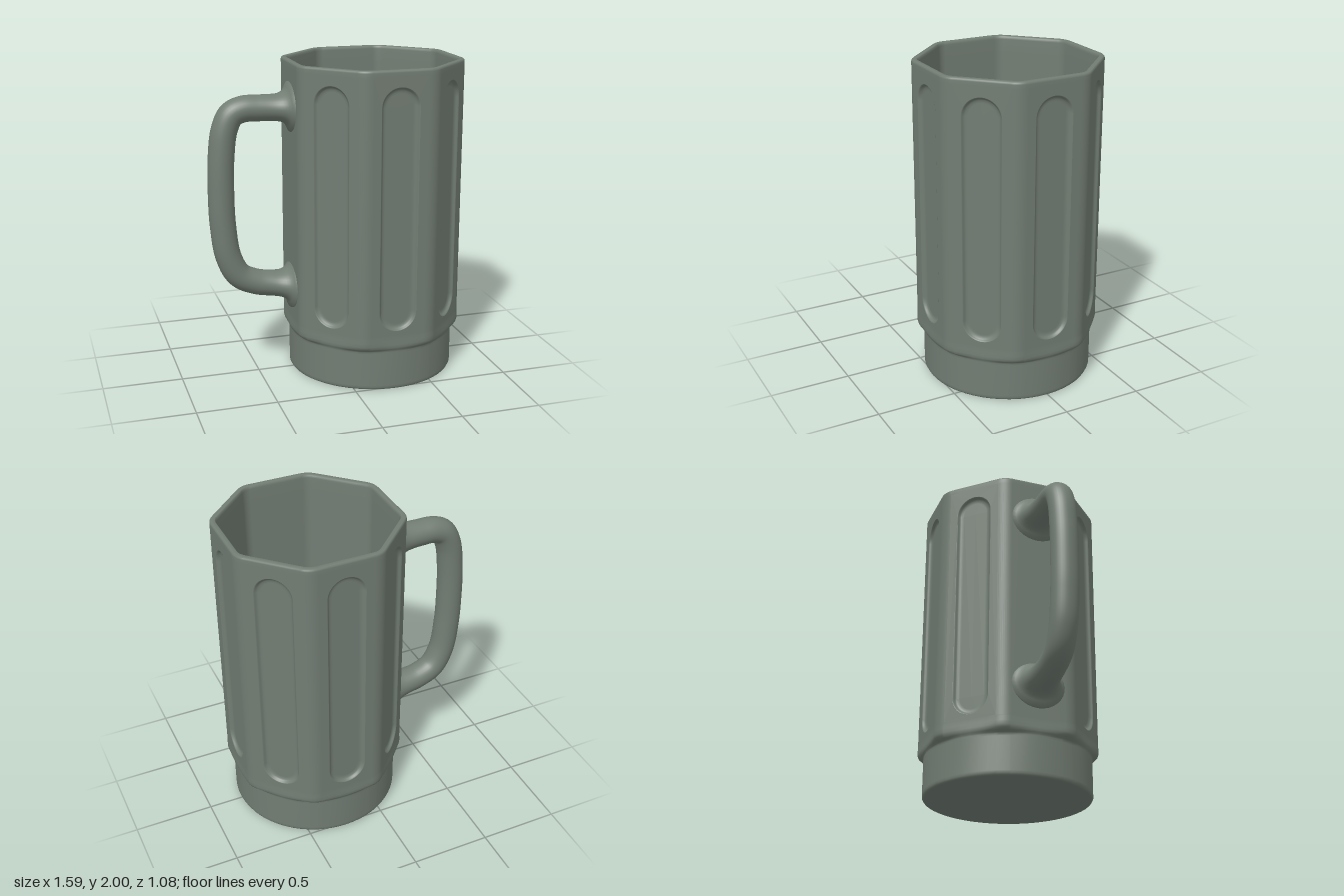
import * as THREE from 'three';

const CX = 0.255;          // mug axis
const APOTHEM = 0.535;     // distance from axis to each flat side
const FILLET = 0.12;       // corner rounding of the outside
const FLAT = (APOTHEM - FILLET) * Math.tan(Math.PI / 8); // half width of a flat
const WALL = [0.36, 1.96]; // height range holding the panels
const HANDLE_SIDE = 6;     // the side facing -x
const FLAT_STEPS = 6, ARC_STEPS = 8, PER_SIDE = FLAT_STEPS + ARC_STEPS;

const glass = new THREE.MeshStandardMaterial({ color: 0x727d73 });
const grey = new THREE.MeshStandardMaterial({ color: 0xcccccc });

// Skins a list of closed rings; skip(column, row) leaves openings
function loft(rings, skip = () => false) {
  const n = rings[0].length, index = [];
  for (let j = 0; j < rings.length - 1; j++) {
    for (let i = 0; i < n; i++) {
      if (skip(i, j)) continue;
      const a = j * n + i, b = j * n + (i + 1) % n;
      index.push(a, b, b + n, a, b + n, a + n);
    }
  }
  const geo = new THREE.BufferGeometry().setFromPoints(rings.flat());
  geo.setIndex(index);
  geo.computeVertexNormals();
  return geo;
}

// Horizontal ring: rounded octagon (round = 0) to circle (round = 1)
function section([y, size, round = 0, fillet = FILLET]) {
  const ring = [];
  const apothem = round === 1 ? APOTHEM : size;
  const half = (apothem - fillet) * Math.tan(Math.PI / 8);
  for (let k = 0; k < 8; k++) {
    for (let i = 0; i < PER_SIDE; i++) {
      const phi = Math.max(0, i - FLAT_STEPS) / ARC_STEPS * Math.PI / 4;
      const u = i <= FLAT_STEPS ? half * (2 * i / FLAT_STEPS - 1) : half + fillet * Math.sin(phi);
      const v = apothem - fillet + fillet * Math.cos(phi);
      const p = new THREE.Vector3(u, 0, v).applyAxisAngle(new THREE.Vector3(0, 1, 0), k * Math.PI / 4);
      p.lerp(p.clone().setLength(size), round);
      ring.push(p.setY(y));
    }
  }
  return ring;
}

// Upright rounded slot outline of half width r
function slot(r, z = 0) {
  const pts = [];
  for (let end = 0; end < 2; end++) {
    for (let i = 0; i <= 20; i++) {
      const a = (end + i / 20) * Math.PI;
      pts.push(new THREE.Vector3(r * Math.cos(a), (end ? 0.51 : 1.78) + r * Math.sin(a), z));
    }
  }
  return pts;
}

function add(parent, name, geometry, material) {
  const mesh = new THREE.Mesh(geometry, material);
  mesh.name = name;
  parent.add(mesh);
  return mesh;
}

// Body: underside, round foot, eight-sided wall, rim and inner wall
function bodyGeometry() {
  const rows = [
    [0.008, 0, 1], [0.008, 0.47, 1], [0, 0.49, 1], [0, 0.515, 1], [0.004, 0.524, 1], [0.015, 0.53, 1], [0.03, 0.53, 1],
    [0.24, 0.53, 1], [0.252, 0.529, 1], [0.262, 0.53, 0.85], [0.27, 0.535, 0.55], [0.282, 0.539, 0.25],
    [0.30, 0.539, 0.08], [0.325, 0.536], [0.35, APOTHEM], [WALL[0], APOTHEM],
    [WALL[1], APOTHEM], [1.985, APOTHEM], [1.994, 0.533], [2, 0.527],
    [2, 0.505, 0, 0.09], [1.994, 0.499, 0, 0.09], [1.98, 0.496, 0, 0.08], [1.9, 0.495, 0, 0.08],
    [0.4, 0.482, 0, 0.08], [0.3, 0.478, 0, 0.08],
  ];
  const wallRow = rows.findIndex(r => r[0] === WALL[0]);
  return loft(rows.map(section), (i, j) =>
    j === wallRow && i % PER_SIDE < FLAT_STEPS && Math.floor(i / PER_SIDE) !== HANDLE_SIDE);
}

// Handle: bent sweep whose ends flare into the wall
function handleGeometry() {
  const path = new THREE.CatmullRomCurve3([
    [-0.265, 1.72], [-0.36, 1.72], [-0.48, 1.722], [-0.57, 1.72], [-0.64, 1.69], [-0.685, 1.6],
    [-0.71, 1.42], [-0.716, 1.2], [-0.71, 1.0], [-0.68, 0.79], [-0.615, 0.665], [-0.51, 0.61],
    [-0.4, 0.59], [-0.265, 0.577],
  ].map(([x, y]) => new THREE.Vector3(x, y, 0)));
  const rings = [];
  for (let j = 0; j <= 120; j++) {
    const p = path.getPointAt(j / 120), t = path.getTangentAt(j / 120);
    const gap = Math.max(0, -0.28 - p.x);
    const rn = 0.081 + 0.075 * Math.exp(-gap / 0.025);
    const rz = 0.086 + 0.085 * Math.exp(-gap / 0.06);
    const ring = [];
    for (let i = 0; i < 32; i++) {
      const a = i / 32 * Math.PI * 2, s = rn * Math.sin(a);
      ring.push(new THREE.Vector3(p.x + t.y * s, p.y - t.x * s, rz * Math.cos(a)));
    }
    rings.push(ring);
  }
  return loft(rings);
}

export function createModel() {
  const model = new THREE.Group();
  model.name = 'mug';

  const mug = new THREE.Group();
  mug.name = 'mugBody';
  mug.position.x = CX;
  model.add(mug);
  add(mug, 'body', bodyGeometry(), glass);

  // Flat sides, each with a sunken slot
  const shape = new THREE.Shape([
    new THREE.Vector2(-FLAT, WALL[0]), new THREE.Vector2(FLAT, WALL[0]),
    new THREE.Vector2(FLAT, WALL[1]), new THREE.Vector2(-FLAT, WALL[1]),
  ]);
  shape.holes.push(new THREE.Path(slot(0.12).map(p => new THREE.Vector2(p.x, p.y))));
  const flatGeo = new THREE.ShapeGeometry(shape);
  const dishGeo = loft([[0, 0], [0.003, -0.001], [0.007, -0.006], [0.012, -0.014], [0.019, -0.019],
    [0.03, -0.022], [0.04, -0.022], [0.12, -0.022]].map(([inset, z]) => slot(0.12 - inset, z)));
  for (let k = 0; k < 8; k++) {
    if (k === HANDLE_SIDE) continue;
    const side = new THREE.Group();
    side.name = 'sidePanel' + k;
    side.rotation.y = k * Math.PI / 4;
    add(side, 'flatSide', flatGeo, glass).position.z = APOTHEM;
    add(side, 'sunkenSlot', dishGeo, glass).position.z = APOTHEM;
    mug.add(side);
  }

  // Inner floor with a softly rounded edge
  add(mug, 'innerFloor', loft([[0.29, 0.478, 0, 0.08], [0.305, 0.476, 0, 0.08], [0.315, 0.468, 0, 0.08],
    [0.32, 0.455, 0, 0.08], [0.32, 0.43, 0, 0.08], [0.32, 0, 1]].map(section)), grey);

  add(model, 'handle', handleGeometry(), glass);
  return model;
}
